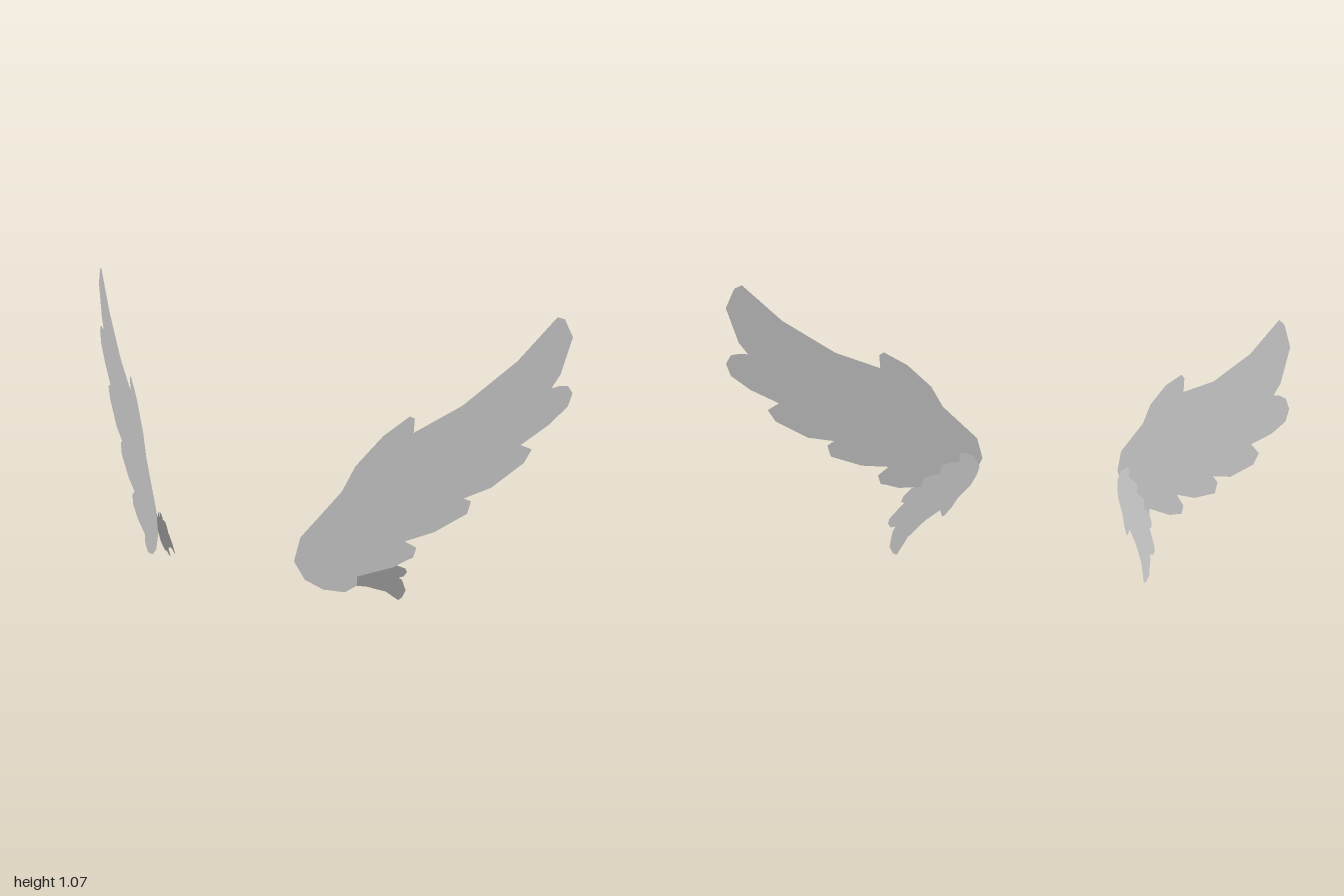
import * as THREE from 'three';

// Outlines as [z, y] points, each lying on a flat, slanted plane
const MAIN = [
  [-0.31, 1.066], [-0.33, 1.057], [-0.355, 0.99], [-0.327, 0.86], [-0.304, 0.812],
  [-0.327, 0.818], [-0.349, 0.816], [-0.363, 0.787], [-0.352, 0.74], [-0.302, 0.678],
  [-0.228, 0.613], [-0.259, 0.593], [-0.239, 0.545], [-0.152, 0.464], [-0.079, 0.435],
  [-0.099, 0.421], [-0.09, 0.376], [-0.003, 0.32], [0.076, 0.297], [0.044, 0.269],
  [0.052, 0.232], [0.065, 0.227], [0.105, 0.204], [0.2, 0.185], [0.2, 0.151],
  [0.231, 0.131], [0.288, 0.151], [0.336, 0.196], [0.364, 0.269], [0.348, 0.354],
  [0.243, 0.506], [0.209, 0.593], [0.139, 0.692], [0.071, 0.754], [0.058, 0.745],
  [0.06, 0.694], [-0.066, 0.776], [-0.208, 0.92],
];
const SMALL = [
  [0.341, 0.237], [0.335, 0.28], [0.308, 0.305], [0.283, 0.306], [0.268, 0.277],
  [0.199, 0.283], [0.18, 0.252], [0.114, 0.252], [0.097, 0.221], [0.06, 0.226],
  [0.02, 0.205], [0.004, 0.187], [0.014, 0.179], [-0.03, 0.154], [-0.058, 0.137],
  [-0.069, 0.12], [-0.063, 0.104], [-0.045, 0.103], [-0.061, 0.089], [-0.09, 0.038],
  [-0.087, 0.01], [-0.075, 0.0], [-0.014, 0.052], [0.068, 0.094], [0.138, 0.117],
  [0.136, 0.094], [0.144, 0.092], [0.178, 0.111], [0.217, 0.142], [0.286, 0.18],
  [0.318, 0.208],
];

// Fill an outline, then lay it on the plane x = planeX(z, y), mirrored by side
function featherSheet(outline, planeX, side) {
  const shape = new THREE.Shape(outline.map(([z, y]) => new THREE.Vector2(z, y)));
  const geometry = new THREE.ShapeGeometry(shape);
  const p = geometry.attributes.position;
  for (let i = 0; i < p.count; i++) {
    const z = p.getX(i), y = p.getY(i);
    p.setXYZ(i, side * planeX(z, y), y, z);
  }
  // keep the front of both sheets facing outward
  if (side > 0) geometry.setIndex([...geometry.index.array].reverse());
  geometry.computeVertexNormals();
  return geometry;
}

export function createModel() {
  const model = new THREE.Group();
  model.name = 'wings';
  const grey = new THREE.MeshStandardMaterial({ color: 0xcccccc, side: THREE.DoubleSide });
  grey.name = 'feather grey';

  for (const [label, side] of [['left', 1], ['right', -1]]) {
    const wing = new THREE.Group();
    wing.name = `${label}Wing`;

    // Upright outer wing
    const main = new THREE.Mesh(featherSheet(MAIN, (z) => 0.64 - z, side), grey);
    main.name = `${label}MainFeathers`;

    // Small tilted wing tucked behind it
    const small = new THREE.Mesh(
      featherSheet(SMALL, (z, y) => 0.431 - 0.662 * z + 0.319 * y, side), grey);
    small.name = `${label}LowerFeathers`;

    wing.add(main, small);
    model.add(wing);
  }
  return model;
}
